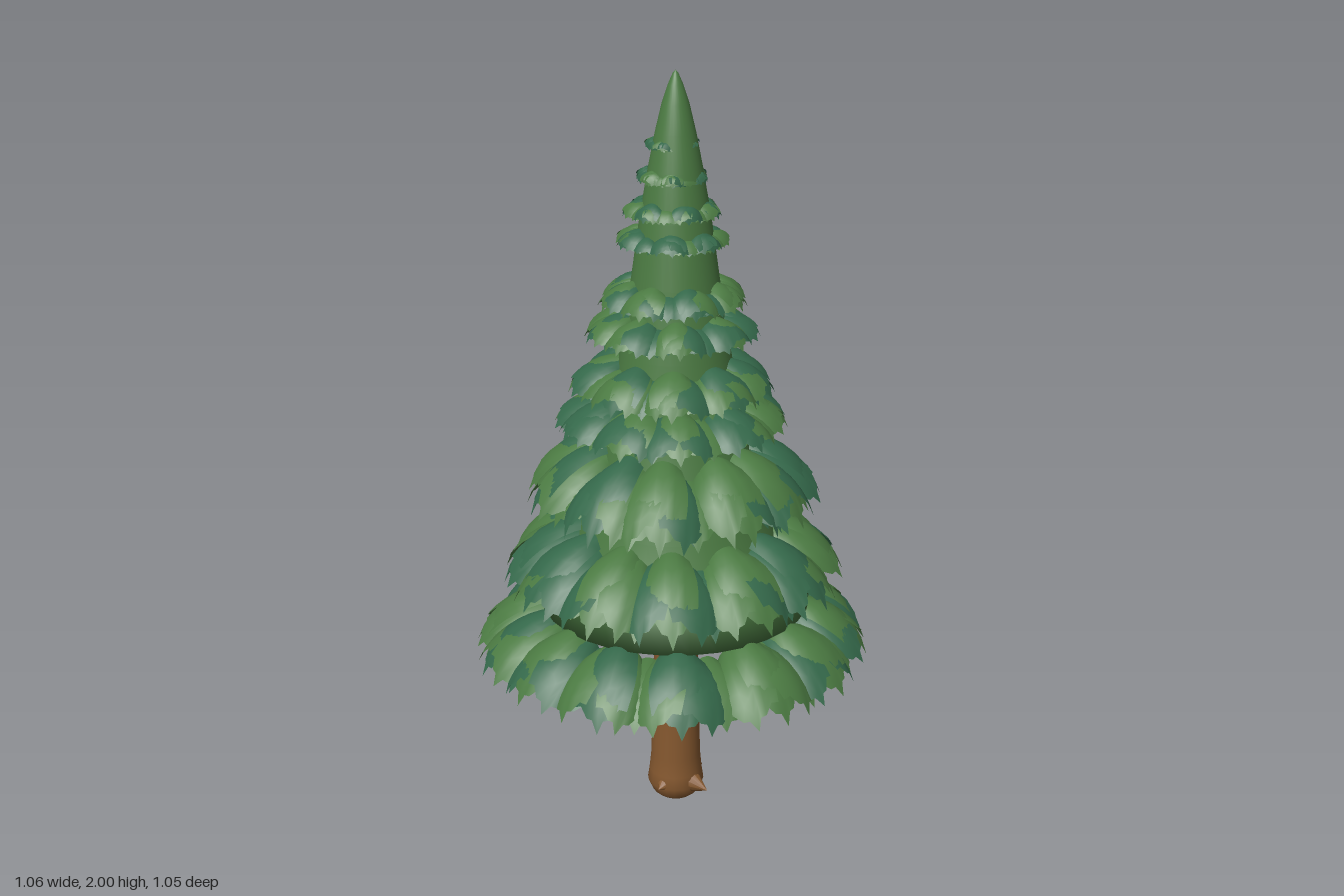
import * as THREE from 'three';
import { mergeGeometries } from 'three/addons/utils/BufferGeometryUtils.js';

const V = (x, y) => new THREE.Vector2(x, y);

// Small seeded random generator
function seeded(seed) {
  return () => {
    seed = (seed * 1664525 + 1013904223) % 4294967296;
    return seed / 4294967296;
  };
}

// Arched, cupped leaf with a pointed, toothed tip. It grows along +z from the origin.
function leafGeometry(length, drop, width) {
  const rows = 6, cols = 8, pos = [], index = [];
  for (let i = 0; i <= rows; i++) {
    for (let j = 0; j <= cols; j++) {
      const v = j / cols * 2 - 1;
      const end = 1 - 0.3 * Math.abs(v) - (j % 2 ? 0.05 : 0);
      const t = i / rows * end;
      const half = width / 2 * (0.5 + 0.5 * Math.sin(Math.min(1, t * 1.8) * Math.PI / 2)) * (1 - 0.4 * t * t * t);
      const a = t * 1.25;
      pos.push(
        v * half,
        -drop * (1 - Math.cos(a)) / (1 - Math.cos(1.25)) - v * v * width * 0.17,
        length * Math.sin(a) / Math.sin(1.25)
      );
      if (i < rows && j < cols) {
        const p = i * (cols + 1) + j, q = p + cols + 1;
        index.push(p, q, p + 1, p + 1, q, q + 1);
      }
    }
  }
  const g = new THREE.BufferGeometry();
  g.setAttribute('position', new THREE.Float32BufferAttribute(pos, 3));
  g.setIndex(index);
  g.computeVertexNormals();
  return g;
}

// One ring of leaf clumps, split by colour
function leafTier(name, [top, bottom, inner, outer, count], materials, random) {
  const tier = new THREE.Group();
  tier.name = name;
  const batches = [[], []];
  const length = outer - inner, drop = top - bottom;
  const spacing = Math.PI * 2 / count;
  const width = spacing * outer * 0.62;
  const add = (angle, splay, roll, lower, reach) => {
    const g = leafGeometry(length * reach, drop - lower, width * (0.9 + random() * 0.25));
    g.rotateZ(roll);
    g.rotateY(splay);
    g.translate(0, top - lower, inner);
    g.rotateY(angle);
    batches[random() < 0.5 ? 0 : 1].push(g);
  };
  for (let k = 0; k < count; k++) {
    const angle = (k + (random() - 0.5) * 0.3) * spacing + top * 7;
    const reach = 0.95 + random() * 0.06;
    // Top leaf, two splayed side leaves, a filler and a steeper under leaf
    add(angle, (random() - 0.5) * 0.15, (random() - 0.5) * 0.2, 0, reach);
    for (const s of [-1, 1]) {
      add(angle + s * spacing * 0.2, s * 0.32, -s * 0.3, drop * (0.1 + random() * 0.08), reach * 0.97);
    }
    add(angle + spacing / 2, 0, 0, drop * 0.26, reach * 0.88);
    add(angle + spacing * 0.25, 0.2, 0.1, drop * 0.36, reach * 0.72);
  }
  batches.forEach((list, i) => {
    const mesh = new THREE.Mesh(mergeGeometries(list), materials[i]);
    mesh.name = i ? 'darkLeaves' : 'lightLeaves';
    tier.add(mesh);
  });
  return tier;
}

export function createModel() {
  const tree = new THREE.Group();
  tree.name = 'pineTree';
  const bark = new THREE.MeshStandardMaterial({ color: 0x85582f });
  bark.name = 'bark brown';
  const light = new THREE.MeshStandardMaterial({ color: 0x4b7a42, side: THREE.DoubleSide });
  light.name = 'leaf green';
  const dark = new THREE.MeshStandardMaterial({ color: 0x34684a, side: THREE.DoubleSide });
  dark.name = 'deep blue green';
  const random = seeded(12);

  // Trunk with a rounded, flared foot
  const trunk = new THREE.Mesh(new THREE.LatheGeometry([
    V(0, 0), V(0.05, 0.002), V(0.064, 0.014), V(0.078, 0.045), V(0.073, 0.08),
    V(0.068, 0.13), V(0.064, 0.3), V(0.058, 0.5), V(0.053, 0.7)
  ], 20), bark);
  trunk.name = 'trunk';
  trunk.position.x = 0.012;
  tree.add(trunk);

  // Pointed root flares round the foot: direction, reach
  const roots = new THREE.Group();
  roots.name = 'roots';
  roots.position.x = 0.012;
  for (const [angle, reach] of [[0.15, 0.095], [1.5, 0.12], [2.9, 0.095], [4.5, 0.09]]) {
    const g = new THREE.ConeGeometry(0.05, reach - 0.025, 12);
    g.rotateX(Math.PI / 2);
    g.translate(0, 0, (reach + 0.025) / 2);
    g.rotateX(0.1);
    const root = new THREE.Mesh(g, bark);
    root.name = 'root';
    root.position.y = 0.06;
    root.rotation.y = angle;
    roots.add(root);
  }
  tree.add(roots);

  // Foliage core, hollowed below and ending in the bare tip
  const core = new THREE.Mesh(new THREE.LatheGeometry([
    V(0, 0.68), V(0.2, 0.67), V(0.36, 0.615), V(0.3, 0.69), V(0.245, 0.86), V(0.205, 1.0), V(0.175, 1.12),
    V(0.142, 1.3), V(0.113, 1.48), V(0.09, 1.64), V(0.069, 1.76), V(0.051, 1.85),
    V(0.034, 1.92), V(0.019, 1.965), V(0.007, 1.992), V(0, 2)
  ], 32), light);
  core.name = 'foliageCore';
  core.position.x = 0.01;
  tree.add(core);

  // Leaf tiers: top, bottom, inner radius, outer radius, clumps
  const tiers = [
    [0.625, 0.465, 0.32, 0.535, 14],
    [0.85, 0.675, 0.23, 0.46, 12],
    [1.07, 0.89, 0.17, 0.393, 11],
    [1.195, 1.095, 0.145, 0.308, 10],
    [1.29, 1.19, 0.13, 0.268, 9],
    [1.41, 1.335, 0.113, 0.228, 9],
    [1.49, 1.42, 0.1, 0.195, 8],
    [1.62, 1.572, 0.083, 0.143, 7],
    [1.69, 1.645, 0.073, 0.124, 7],
    [1.765, 1.73, 0.062, 0.09, 6],
    [1.838, 1.812, 0.046, 0.066, 5]
  ];
  tiers.forEach((t, i) => tree.add(leafTier('leafTier' + (i + 1), t, [light, dark], random)));
  return tree;
}
